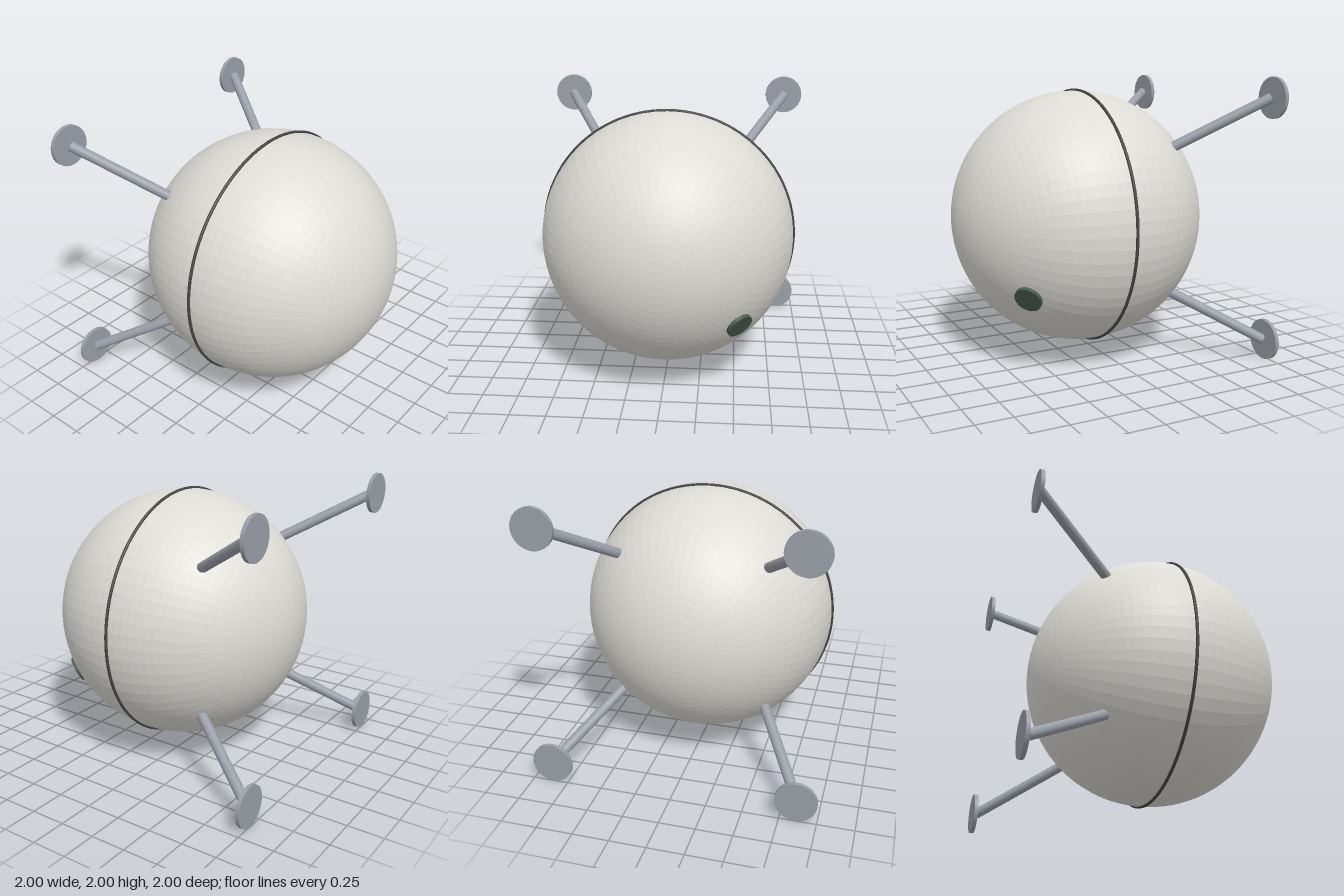
import * as THREE from 'three';

const material = (color, flatShading = false) => new THREE.MeshStandardMaterial({ color, flatShading });

export function createModel() {
  const model = new THREE.Group();
  const metal = material(0x9a9fa8);
  const centre = new THREE.Vector3(0, 1, 0.1);
  const up = new THREE.Vector3(0, 1, 0);

  const add = (name, geometry, mat, position, parent = model) => {
    const mesh = new THREE.Mesh(geometry, mat);
    mesh.name = name;
    mesh.position.copy(position);
    parent.add(mesh);
    return mesh;
  };

  // Spherical hull, poles on the z axis
  const hull = new THREE.SphereGeometry(0.9, 64, 48).rotateX(Math.PI / 2);
  add('hull', hull, material(0xdedcd6, true), centre);

  // Seam around the middle
  add('seamRing', new THREE.TorusGeometry(0.903, 0.011, 10, 96), material(0x454745), centre);

  // Round hatch set into the lower front left
  const outward = new THREE.Vector3(0.525, -0.43, 0.6).normalize();
  const hatch = add('hatch', new THREE.CylinderGeometry(0.095, 0.095, 0.04, 32), material(0x48594f),
    centre.clone().addScaledVector(outward, 0.9));
  hatch.quaternion.setFromUnitVectors(up, outward);

  // Four splayed legs at the back, each with a flat round pad
  for (const sx of [-1, 1]) {
    for (const sy of [-1, 1]) {
      const leg = new THREE.Group();
      leg.name = (sy > 0 ? 'upper' : 'lower') + (sx > 0 ? 'Left' : 'Right') + 'Leg';
      model.add(leg);

      const inner = new THREE.Vector3(sx * 0.5, 1 + sy * 0.5, -0.37);
      const outer = new THREE.Vector3(sx * 0.857, 1 + sy * 0.857, -0.968);
      const along = outer.clone().sub(inner);
      const strut = add('strut', new THREE.CylinderGeometry(0.036, 0.036, along.length(), 20), metal,
        inner.clone().add(outer).multiplyScalar(0.5), leg);
      strut.quaternion.setFromUnitVectors(up, along.normalize());

      const pad = new THREE.CylinderGeometry(0.143, 0.143, 0.027, 32).rotateX(Math.PI / 2);
      add('pad', pad, metal, new THREE.Vector3(outer.x, outer.y, -0.9865), leg);
    }
  }
  return model;
}
